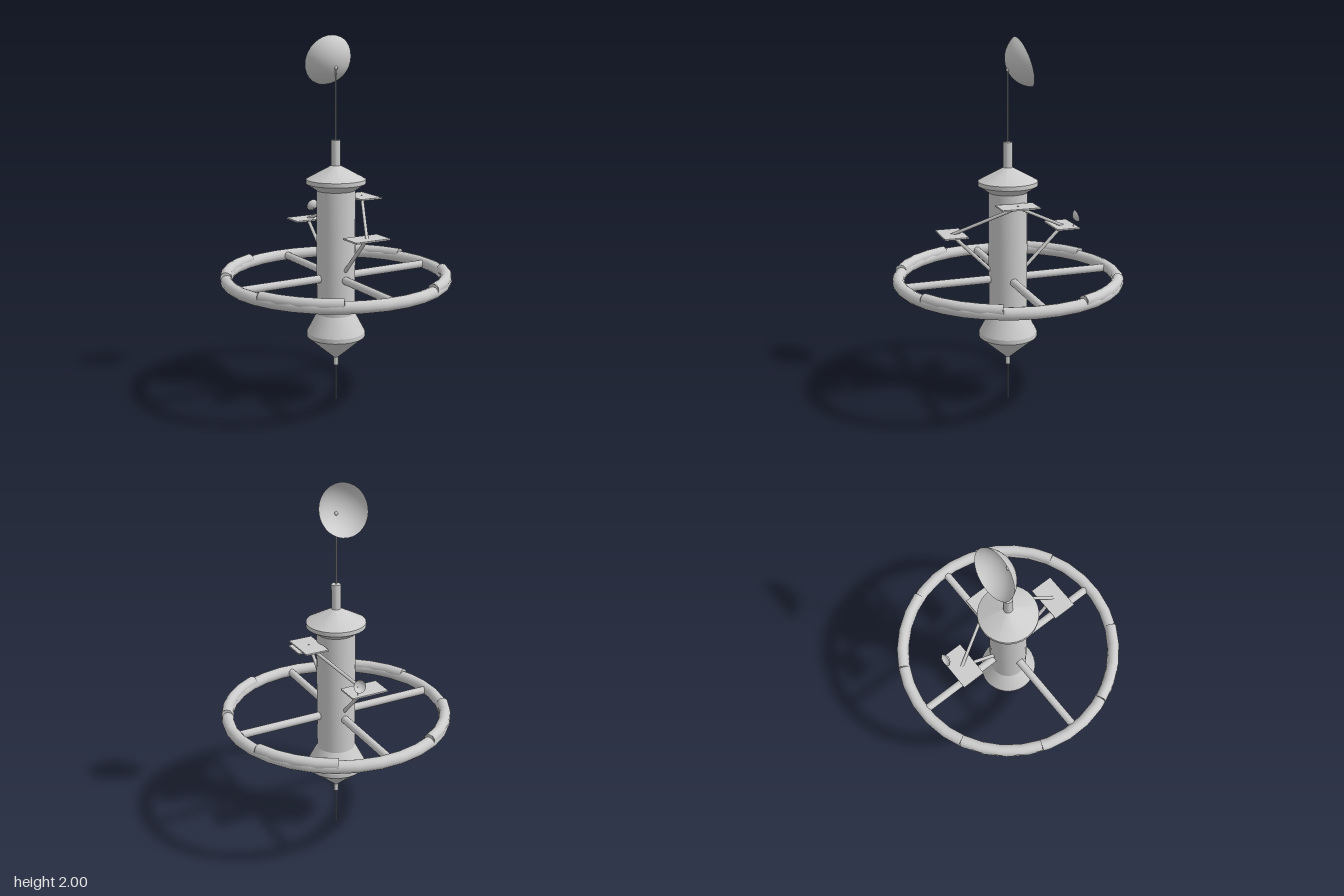
import * as THREE from 'three';
import { toCreasedNormals } from 'three/addons/utils/BufferGeometryUtils.js';

const grey = new THREE.MeshStandardMaterial({ color: 0xcccccc });
const greyThin = new THREE.MeshStandardMaterial({ color: 0xcccccc, side: THREE.DoubleSide });
const rad = THREE.MathUtils.degToRad;
const V = (x, y, z) => new THREE.Vector3(x, y, z);

function add(parent, name, geometry, material = grey) {
  const mesh = new THREE.Mesh(geometry, material);
  mesh.name = name;
  parent.add(mesh);
  return mesh;
}

function lathe(points, segments) {
  const profile = points.map(([r, y]) => new THREE.Vector2(r, y));
  return toCreasedNormals(new THREE.LatheGeometry(profile, segments), 0.45);
}

// Round bar between two points
function bar(parent, name, a, b, radius, sides = 10) {
  const dir = b.clone().sub(a);
  const mesh = add(parent, name, new THREE.CylinderGeometry(radius, radius, dir.length(), sides));
  mesh.position.copy(a).add(b).multiplyScalar(0.5);
  mesh.quaternion.setFromUnitVectors(V(0, 1, 0), dir.normalize());
  return mesh;
}

// Spherical bowl tipped to look backwards and slightly up; origin at the rim centre
function dish(parent, name, position, scale) {
  const depth = 0.09, rim = 0.138;
  const R = (rim * rim + depth * depth) / (2 * depth);
  const maxAngle = Math.asin(rim / R);
  const profile = [];
  for (let i = 0; i <= 10; i++) {
    const a = (maxAngle * i) / 10;
    profile.push(new THREE.Vector2(R * Math.sin(a), R * (1 - Math.cos(a)) - depth));
  }
  const mesh = add(parent, name, new THREE.LatheGeometry(profile, 32), greyThin);
  mesh.position.copy(position);
  mesh.rotation.x = -1.258;
  mesh.scale.setScalar(scale);
}

export function createModel() {
  const model = new THREE.Group();
  model.name = 'spaceStation';

  // Central hull with flared ends and stubs
  add(model, 'hull', lathe([
    [0, 0.205], [0.013, 0.205], [0.013, 0.25], [0.16, 0.375], [0.16, 0.4],
    [0.105, 0.505], [0.105, 1.185], [0.16, 1.222], [0.16, 1.245],
    [0.025, 1.318], [0.025, 1.453], [0, 1.453],
  ], 32));

  // Antennas and main dish
  bar(model, 'lowerAntenna', V(0, 0, 0), V(0, 0.21, 0), 0.003, 8);
  bar(model, 'upperMast', V(0, 1.45, 0), V(0, 1.83, 0), 0.004, 8);
  add(model, 'dishPivot', new THREE.SphereGeometry(0.01, 12, 8)).position.set(0, 1.83, 0);
  dish(model, 'mainDish', V(0, 1.868, -0.082), 1);

  // Habitat ring
  const ring = add(model, 'habitatRing', new THREE.TorusGeometry(0.595, 0.033, 12, 32));
  ring.rotation.set(Math.PI / 2, 0, Math.PI / 32);
  ring.position.y = 0.707;

  // Raised ring sections, one per quadrant, with closed ends
  const start = rad(20.7), end = rad(63.6);
  for (const sx of [1, -1]) for (const sz of [1, -1]) {
    const pts = [];
    for (let i = 0; i <= 4; i++) {
      const a = start + ((end - start) * i) / 4;
      pts.push(V(sx * 0.596 * Math.cos(a), 0.724, sz * 0.596 * Math.sin(a)));
    }
    const section = new THREE.Group();
    section.name = 'raisedSection';
    model.add(section);
    add(section, 'sectionShell', new THREE.TubeGeometry(new THREE.CatmullRomCurve3(pts), 4, 0.031, 12));
    for (const [p, a] of [[pts[0], start], [pts[4], end]]) {
      const cap = add(section, 'sectionEnd', new THREE.CircleGeometry(0.031, 12), greyThin);
      cap.position.copy(p);
      cap.lookAt(p.clone().add(V(-sx * Math.sin(a), 0, sz * Math.cos(a))));
    }
  }

  // Four spokes
  for (let i = 0; i < 4; i++) {
    const a = (i * Math.PI) / 2, c = Math.cos(a), s = Math.sin(a);
    bar(model, 'spoke', V(0.09 * c, 0.707, 0.09 * s), V(0.58 * c, 0.707, 0.58 * s), 0.022, 12);
  }

  // Front and back platforms with their struts
  for (const s of [1, -1]) {
    const platform = add(model, 'platform', new THREE.BoxGeometry(0.206, 0.008, 0.13));
    platform.position.set(0, 0.976, s * 0.313);
    bar(model, 'lowerStrut', V(0, 0.755, s * 0.095), V(0, 0.974, s * 0.315), 0.01);
    bar(model, 'upperStrut', V(0, 0.974, s * 0.315), V(0.163, 1.134, 0), 0.009);
  }

  // Side platform
  add(model, 'sidePlatform', new THREE.BoxGeometry(0.13, 0.008, 0.206)).position.set(0.162, 1.136, 0);

  // Small dish on the back platform
  bar(model, 'smallDishStalk', V(0.062, 0.975, -0.354), V(0.062, 1.028, -0.354), 0.0015, 6);
  dish(model, 'smallDish', V(0.062, 1.037, -0.374), 0.25);

  return model;
}
